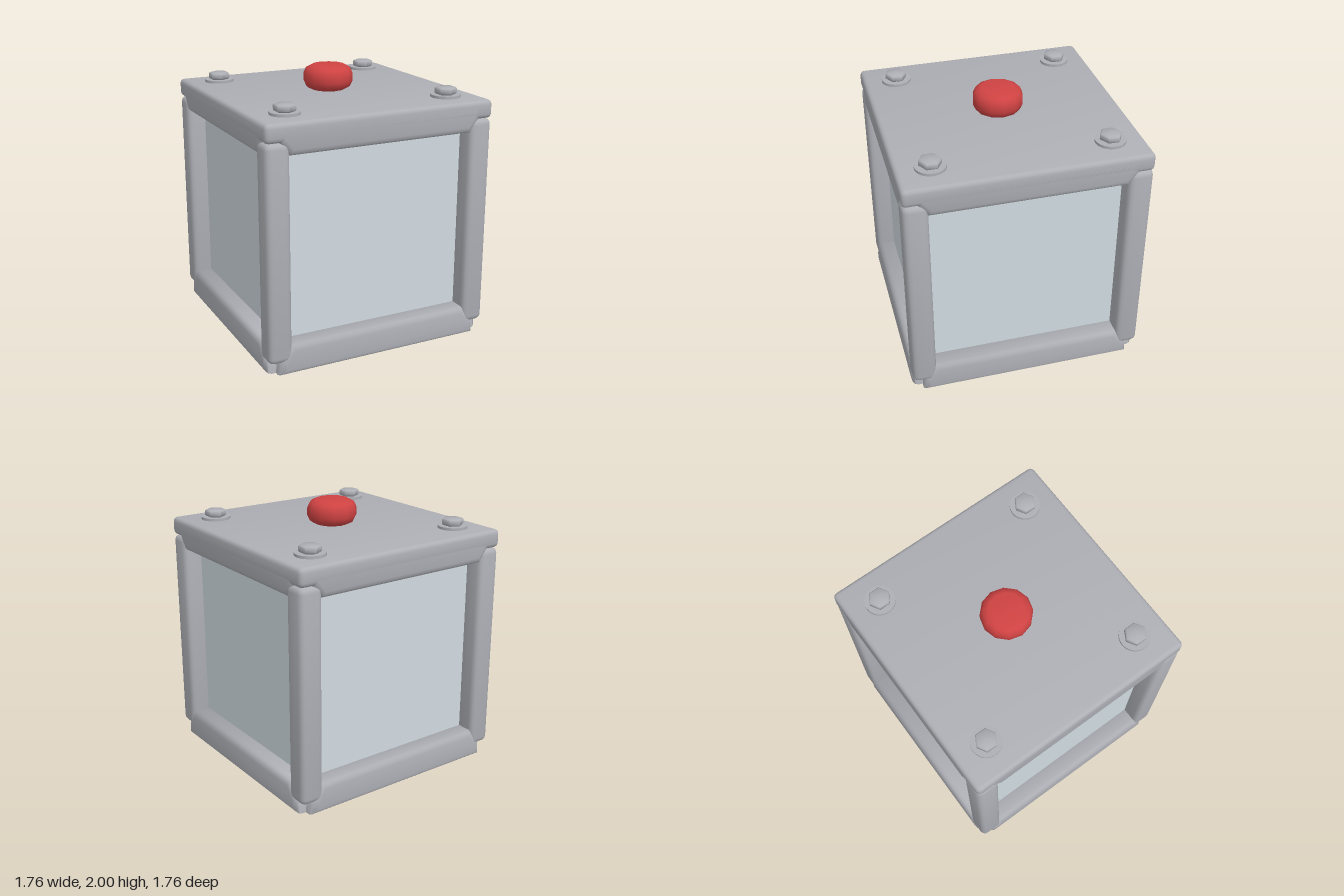
import * as THREE from 'three';
import { RoundedBoxGeometry } from 'three/addons/geometries/RoundedBoxGeometry.js';
import { toCreasedNormals } from 'three/addons/utils/BufferGeometryUtils.js';

function colour(name, hex) {
  const material = new THREE.MeshStandardMaterial({ color: hex });
  material.name = name;
  return material;
}
const metal = colour('grey metal', 0xadafb5);
const pane = colour('pale panel', 0xd0dae0);
const red = colour('red knob', 0xd04343);

const HALF = 0.882, TOP = 1.815;

function add(parent, name, geometry, material, x = 0, y = 0, z = 0) {
  const mesh = new THREE.Mesh(geometry, material);
  mesh.name = name;
  mesh.position.set(x, y, z);
  parent.add(mesh);
  return mesh;
}

// Softly rounded block with shading blended across its bevels
function softBox(width, height, depth, radius) {
  return toCreasedNormals(new RoundedBoxGeometry(width, height, depth, 2, radius), 1.2);
}

// Rail with slanted ends, long side at y = 0, outer face at z = HALF
function railGeometry() {
  const b = 0.045;
  const shape = new THREE.Shape([
    [-0.8 + b, b], [0.8 - b, b], [0.79 - b, 0.1], [0.7 - b * 0.4, 0.23 - b],
    [-0.7 + b * 0.4, 0.23 - b], [-0.79 + b, 0.1],
  ].map(([x, y]) => new THREE.Vector2(x, y)));
  const geometry = new THREE.ExtrudeGeometry(shape, {
    depth: 0.18 - 2 * b, bevelEnabled: true, bevelSize: b, bevelThickness: b, bevelSegments: 3,
  });
  geometry.translate(0, 0, HALF - 0.18 + b);
  return toCreasedNormals(geometry, 1.2);
}

function makeBolt() {
  const bolt = new THREE.Group();
  bolt.name = 'bolt';
  add(bolt, 'washer', new THREE.CylinderGeometry(0.11, 0.11, 0.02, 32), metal, 0, 0.01, 0);
  const profile = [[0, 0.02], [0.07, 0.02], [0.08, 0.028], [0.08, 0.062], [0.07, 0.07], [0, 0.072]];
  const head = new THREE.LatheGeometry(profile.map(([r, y]) => new THREE.Vector2(r, y)), 6);
  add(bolt, 'boltHead', toCreasedNormals(head, 1.0), metal);
  return bolt;
}

export function createModel() {
  const model = new THREE.Group();
  model.name = 'framedBox';

  // Inner box: deeply recessed pale side panels and a metal base plate
  add(model, 'panelBox', new THREE.BoxGeometry(1.48, 1.64, 1.48),
    [pane, pane, metal, metal, pane, pane], 0, 0.925, 0);

  // Lid
  const lidHeight = TOP - 1.68;
  add(model, 'lid', softBox(2 * HALF, lidHeight, 2 * HALF, 0.035), metal, 0, TOP - lidHeight / 2, 0);

  // Rails along each side and a post at each corner
  const rail = railGeometry();
  const post = softBox(0.18, 1.58, 0.18, 0.045);
  for (let i = 0; i < 4; i++) {
    const side = new THREE.Group();
    side.name = 'frameSide';
    side.rotation.y = i * Math.PI / 2;
    add(side, 'bottomRail', rail, metal);
    add(side, 'topRail', rail, metal, 0, TOP - 0.001, 0).rotation.z = Math.PI;
    add(side, 'cornerPost', post, metal, HALF - 0.091, 0.89, HALF - 0.091);
    model.add(side);
  }

  // Bolts on the lid
  for (const x of [-0.635, 0.635]) {
    for (const z of [-0.635, 0.635]) {
      const bolt = makeBolt();
      bolt.position.set(x, TOP, z);
      model.add(bolt);
    }
  }

  // Twelve-sided knob with a flat top
  const knob = [[0, 0], [0.12, 0], [0.165, 0.022], [0.185, 0.065], [0.185, 0.12],
    [0.165, 0.163], [0.12, 0.185], [0, 0.185]];
  add(model, 'knob', new THREE.LatheGeometry(knob.map(([r, y]) => new THREE.Vector2(r, y)), 12), red, 0, TOP, 0);

  return model;
}
